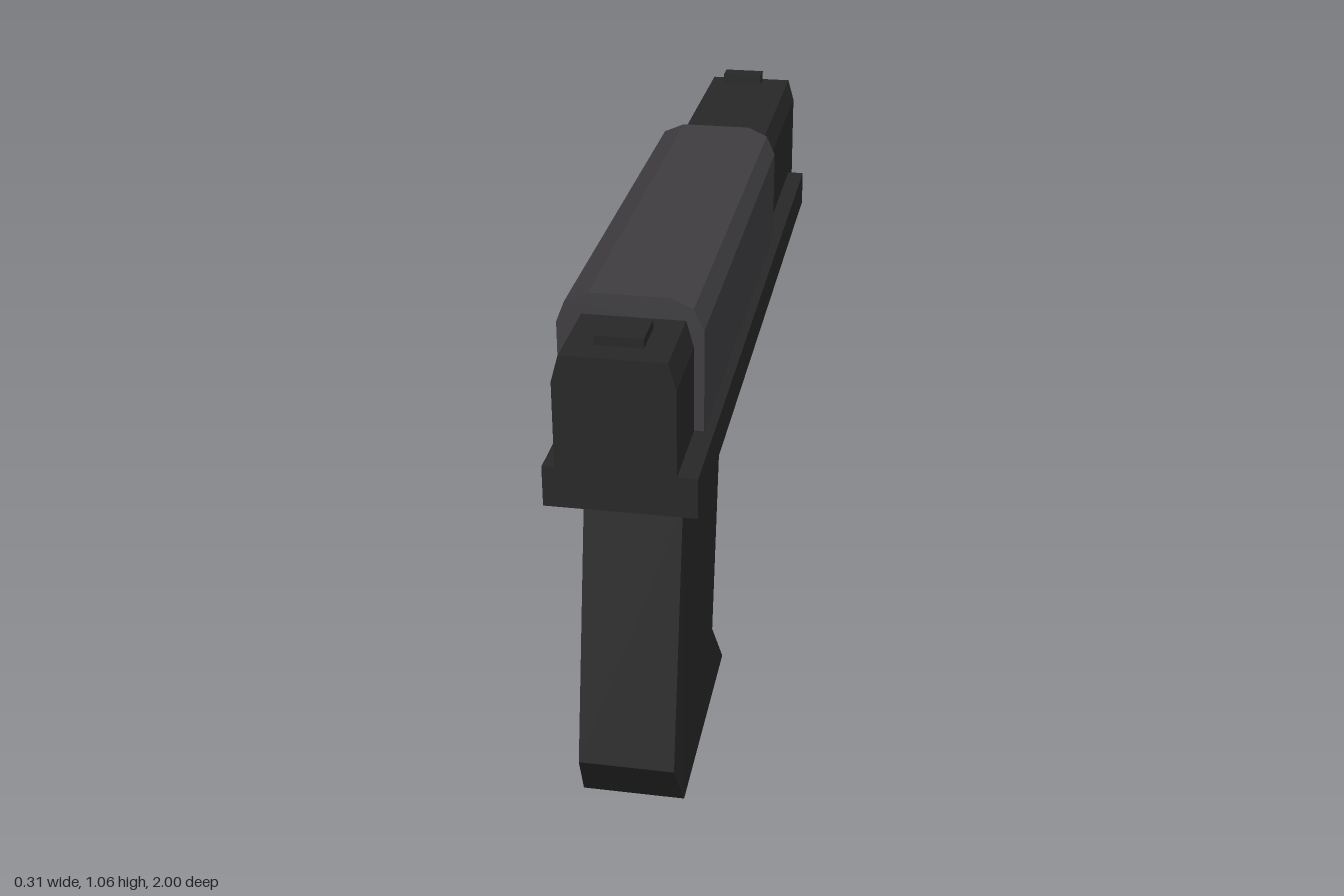
import * as THREE from 'three';

const dark = new THREE.MeshStandardMaterial({ color: 0x282828, flatShading: true });
const light = new THREE.MeshStandardMaterial({ color: 0x403e41, flatShading: true });

// Extrudes a polygon along z from z0 to z1
function prism(points, z0, z1, steps = 1) {
  const shape = new THREE.Shape(points.map(([x, y]) => new THREE.Vector2(x, y)));
  const g = new THREE.ExtrudeGeometry(shape, { depth: z1 - z0, steps, bevelEnabled: false });
  return g.translate(0, 0, z0);
}

// Box given by its limits on each axis
function block([x0, x1], [y0, y1], [z0, z1]) {
  return new THREE.BoxGeometry(x1 - x0, y1 - y0, z1 - z0)
    .translate((x0 + x1) / 2, (y0 + y1) / 2, (z0 + z1) / 2);
}

// Moves every vertex by a rule
function reshape(g, rule) {
  const p = g.attributes.position;
  const v = new THREE.Vector3();
  for (let i = 0; i < p.count; i++) {
    rule(v.fromBufferAttribute(p, i));
    p.setXYZ(i, v.x, v.y, v.z);
  }
  g.computeVertexNormals();
  return g;
}

export function createModel() {
  const group = new THREE.Group();
  const add = (name, geometry, material = dark) => {
    const mesh = new THREE.Mesh(geometry, material);
    mesh.name = name;
    group.add(mesh);
  };

  // Long body with chamfered top edges; the far end is bevelled inwards
  const back = 0.945, tip = -0.89;
  const body = prism([
    [-0.12, 0.695], [0.115, 0.695], [0.115, 0.96],
    [0.1, 1.015], [-0.105, 1.015], [-0.12, 0.96],
  ], tip, back, 2);
  add('body', reshape(body, (v) => {
    if (v.z < tip + 0.01) {
      v.x = -0.0025 + (v.x + 0.0025) * 0.9;
      if (v.y < 0.7) v.y = 0.735;
      else if (v.y > 1) v.y = 1.0;
    } else if (v.z < back - 0.01) {
      v.z = -0.87;
    }
  }));

  // Wider strip along the bottom of the body
  add('rail', block([-0.145, 0.155], [0.695, 0.78], [-0.785, 0.945]));

  // Lighter rounded cover over the middle
  add('cover', prism([
    [-0.155, 0.77], [0.135, 0.77], [0.135, 0.995], [0.115, 1.04],
    [0.07, 1.06], [-0.09, 1.06], [-0.137, 1.04], [-0.155, 0.995],
  ], -0.3, 0.755), light);

  // Small blocks on top
  add('rearSight', block([-0.05, 0.045], [1.0, 1.034], [0.8, 0.89]));
  add('frontSight', block([-0.07, 0.03], [1.0, 1.04], [-0.86, -0.815]));

  // Octagonal hollow barrel end
  const barrel = new THREE.LatheGeometry([
    [0.0945, 0.85], [0.0945, 1], [0.053, 1], [0.053, 0.9], [0, 0.9],
  ].map(([r, y]) => new THREE.Vector2(r, y)), 8, Math.PI / 8);
  add('barrel', barrel.rotateX(-Math.PI / 2).translate(-0.0125, 0.8725, 0));

  // Raked grip: side profile turned into place, flared at the foot and the tang
  const grip = prism([
    [0.405, 0.695], [0.52, 0.155], [0.4, 0], [0.915, 0],
    [1.0, 0.135], [0.885, 0.675], [0.945, 0.695],
  ], 0, 0.195).rotateY(-Math.PI / 2).translate(0.115, 0, 0);
  add('grip', reshape(grip, (v) => {
    const right = v.x < 0;
    if (v.y < 0.01) v.x = right ? -0.093 : 0.12;
    if (right && v.y > 0.69 && v.z > 0.9) v.x = -0.12;
  }));

  return group;
}
